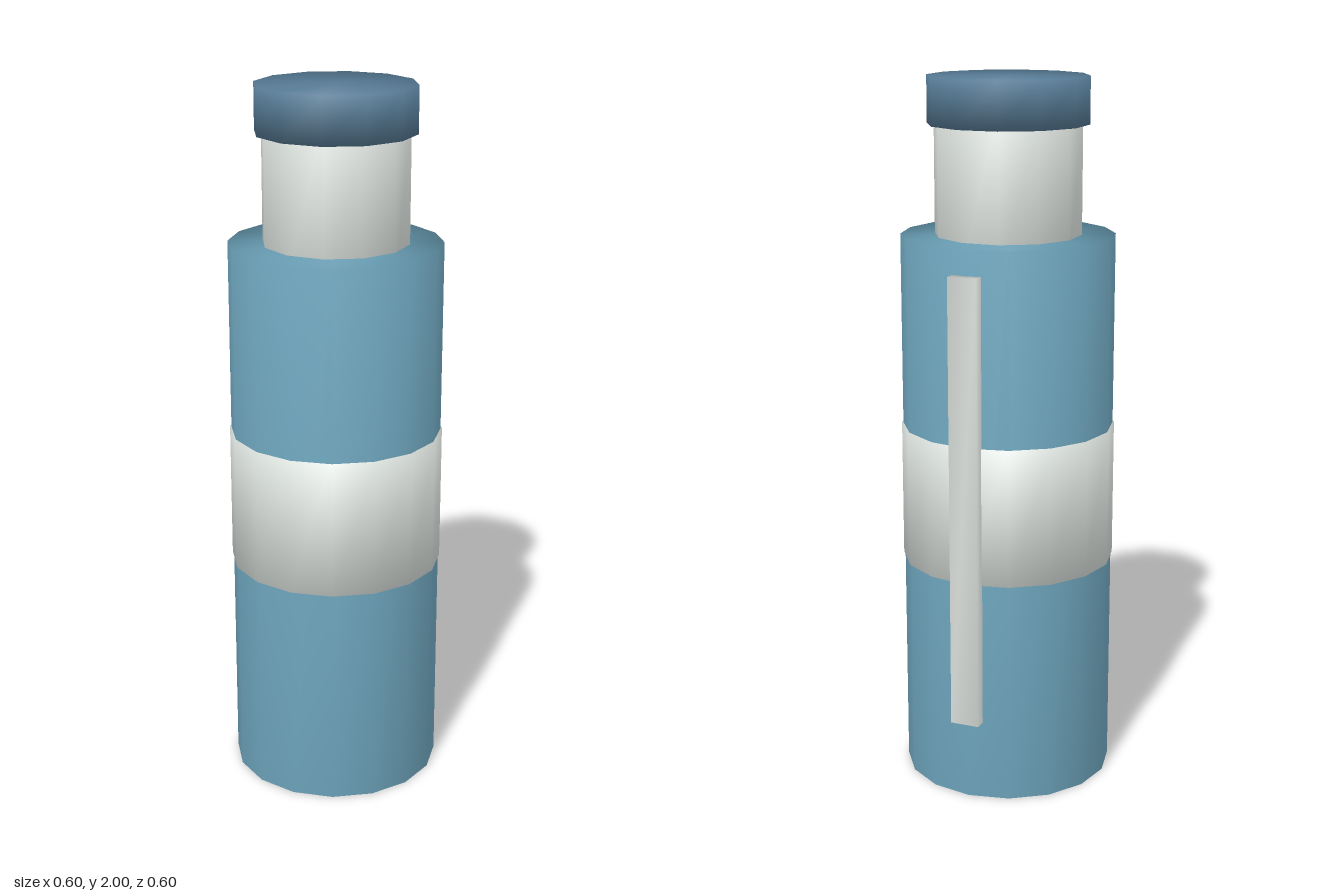
import * as THREE from 'three';
import { mergeVertices } from 'three/addons/utils/BufferGeometryUtils.js';

function material(name, color) {
  const m = new THREE.MeshStandardMaterial({ color });
  m.name = name;
  return m;
}

// Share rim vertices so shading rolls softly over the edges
function softened(geometry) {
  geometry.deleteAttribute('uv');
  geometry.deleteAttribute('normal');
  const merged = mergeVertices(geometry, 1e-4);
  merged.computeVertexNormals();
  return merged;
}

export function createModel() {
  const blue = material('bottle blue', 0x70a8c0);
  const darkBlue = material('lid blue', 0x567a94);
  const white = material('off white', 0xdce2de);

  const bottle = new THREE.Group();
  bottle.name = 'bottle';

  function add(name, geometry, mat, y0, y1) {
    const mesh = new THREE.Mesh(softened(geometry), mat);
    mesh.name = name;
    mesh.position.y = (y0 + y1) / 2;
    bottle.add(mesh);
    return mesh;
  }

  // Upright faceted drum between two heights
  function drum(name, radius, y0, y1, sides, mat) {
    return add(name, new THREE.CylinderGeometry(radius, radius, y1 - y0, sides), mat, y0, y1);
  }

  drum('body', 0.298, 0, 1.57, 16, blue);
  drum('labelBand', 0.302, 0.64, 1.03, 16, white);
  drum('neck', 0.205, 1.5, 1.9, 12, white);
  drum('lid', 0.224, 1.87, 2, 12, darkBlue);

  // Long clip on the back left side, turned to face outward
  const clip = add('clip', new THREE.BoxGeometry(0.082, 1.27, 0.06), white, 0.23, 1.5);
  const reach = 0.294 * Math.SQRT1_2;
  clip.position.x = reach;
  clip.position.z = -reach;
  clip.rotation.y = Math.PI * 0.75;

  return bottle;
}
